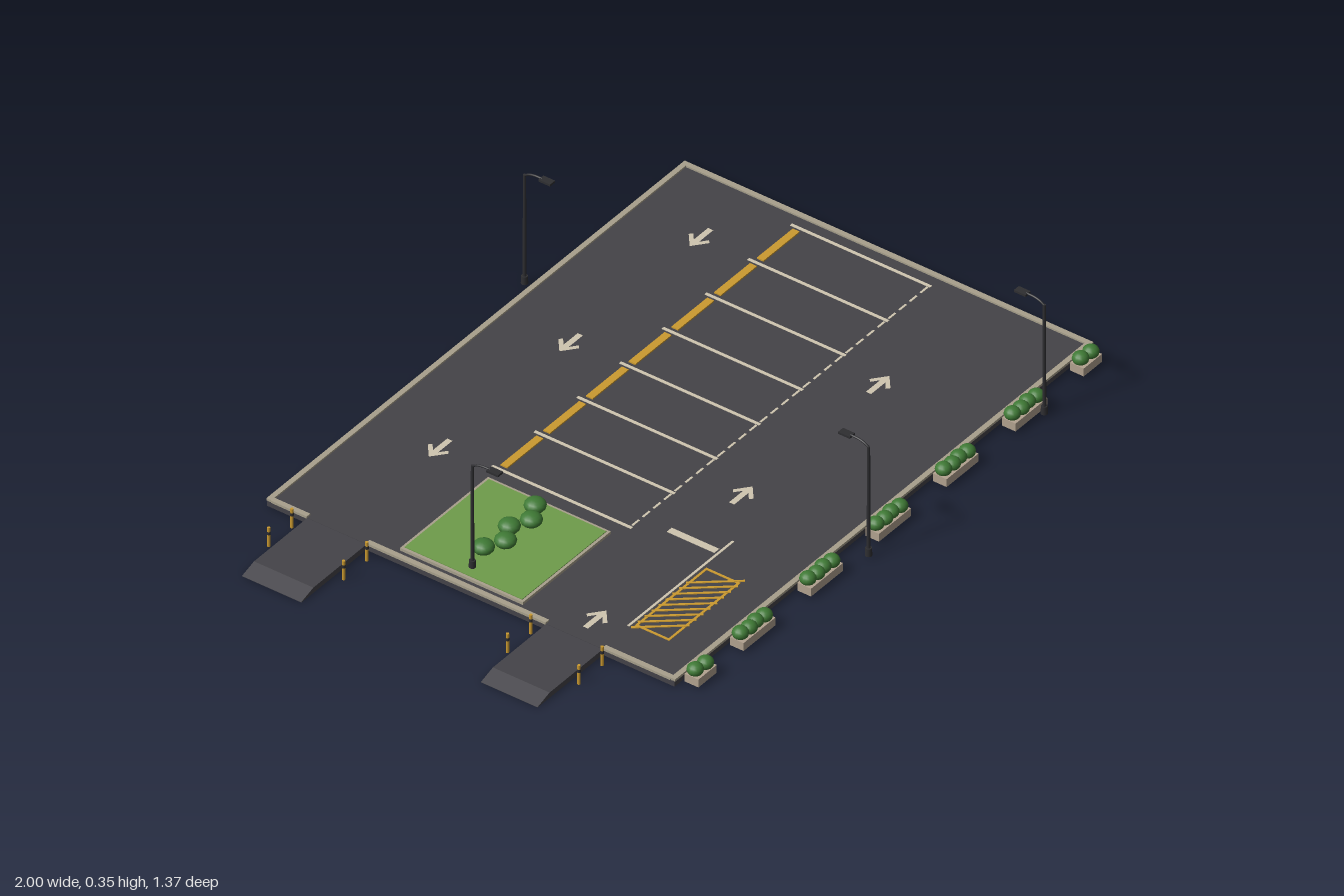
import * as THREE from 'three';

const mat = (name, color, side = THREE.FrontSide) => {
  const m = new THREE.MeshStandardMaterial({ color, side });
  m.name = name;
  return m;
};

export function createModel() {
  const asphalt = mat('asphalt', 0x444348);
  const curbStone = mat('curb stone', 0xa8a08c);
  const white = mat('line paint', 0xcfc6b0);
  const yellow = mat('yellow paint', 0xcb9a30);
  const grass = mat('grass', 0x6f9c4b);
  const leaf = mat('leaf', 0x3f7a35);
  const planterStone = mat('planter stone', 0xb3a390);
  const metal = mat('dark metal', 0x2e2e31);

  const root = new THREE.Group();
  root.name = 'parkingLot';
  const TOP = 0.018;

  const add = (parent, name, geo, material, x = 0, y = 0, z = 0) => {
    const m = new THREE.Mesh(geo, material);
    m.name = name;
    m.position.set(x, y, z);
    parent.add(m);
    return m;
  };
  // box given by its limits
  const span = (parent, name, material, x0, x1, y0, y1, z0, z1) =>
    add(parent, name, new THREE.BoxGeometry(x1 - x0, y1 - y0, z1 - z0), material,
      (x0 + x1) / 2, (y0 + y1) / 2, (z0 + z1) / 2);
  // thin painted strip on the asphalt
  const paint = (name, material, x0, x1, z0, z1) =>
    span(root, name, material, x0, x1, TOP - 0.001, TOP + 0.0015, z0, z1);

  // Ground slab and curbs, open at the two driveways
  const X0 = -0.73, X1 = 0.998, Z0 = -0.642, Z1 = 0.608, C = 0.013;
  span(root, 'slab', asphalt, X0, X1, 0, TOP, Z0, Z1);
  const drives = [[-0.519, -0.337], [0.214, 0.388]];
  const curb = (x0, x1, z0, z1) => span(root, 'curb', curbStone, x0, x1, 0.016, 0.023, z0, z1);
  curb(X0, X1 + 0.002, Z0 - 0.002, Z0 + C);
  curb(X0, X1 + 0.002, Z1 - C, Z1 + 0.002);
  curb(X1 - C, X1 + 0.002, Z0 + C, Z1 - C);
  curb(X0 - 0.002, X0 + C, Z0 + C, drives[0][0]);
  curb(X0 - 0.002, X0 + C, drives[0][1], drives[1][0]);
  curb(X0 - 0.002, X0 + C, drives[1][1], Z1 - C);

  // Driveways with a sloped outer end
  const profile = new THREE.Shape([[-1, 0], [X0, 0], [X0, 0.017], [-0.95, 0.016], [-1, 0.001]]
    .map(p => new THREE.Vector2(...p)));
  for (const [a, b] of drives) {
    add(root, 'driveway', new THREE.ExtrudeGeometry(profile, { depth: b - a, bevelEnabled: false }),
      asphalt, 0, 0, a);
  }

  // Bollards beside the driveways
  for (const z of [-0.54, -0.31, 0.193, 0.412]) {
    for (const x of [-0.861, -0.765]) {
      const g = new THREE.Group();
      g.name = 'bollard';
      g.position.set(x, 0, z);
      root.add(g);
      add(g, 'bollardPost', new THREE.CylinderGeometry(0.0042, 0.0042, 0.058, 10), yellow, 0, 0.029);
      add(g, 'bollardBand', new THREE.CylinderGeometry(0.0047, 0.0047, 0.009, 10), metal, 0, 0.041);
    }
  }

  // Parking stalls: dividers, wheel stops, dashed front line
  const S0 = -0.288, PITCH = 0.1767;
  for (let i = 0; i <= 7; i++) {
    const x = S0 + i * PITCH;
    paint('stallLine', white, x - 0.0045, x + 0.0045, -0.28, 0.15);
    if (i === 7) break;
    span(root, 'wheelStop', yellow, x + 0.014, x + PITCH - 0.014, TOP, TOP + 0.004, -0.264, -0.243);
    for (let k = 0; k < 4; k++) {
      const d = x + 0.009 + k * PITCH / 4;
      paint('dash', white, d, d + 0.028, 0.141, 0.147);
    }
  }

  // Stop bar and lane line
  paint('stopBar', white, -0.249, -0.229, 0.228, 0.374);
  paint('laneLine', white, -0.617, -0.183, 0.379, 0.386);

  // Hatched zone: frame and slanted stripes
  const hx0 = -0.606, hx1 = -0.31, hz0 = 0.394, hz1 = 0.5, w = 0.007;
  paint('hatchFrame', yellow, hx0, hx1, hz0, hz0 + w);
  paint('hatchFrame', yellow, hx0, hx1, hz1 - w, hz1);
  paint('hatchFrame', yellow, hx0, hx0 + w, hz0 + w, hz1 - w);
  paint('hatchFrame', yellow, hx1 - w, hx1, hz0 + w, hz1 - w);
  for (let i = 0; i < 9; i++) {
    const s = add(root, 'hatchStripe', new THREE.BoxGeometry(0.145, 0.0025, 0.007), yellow,
      -0.572 + i * 0.0286, TOP + 0.0006, 0.447);
    s.rotation.y = -0.88;
  }

  // Direction arrows
  const half = [[-0.043, 0.008], [0.016, 0.008], [-0.004, 0.024], [0.005, 0.032], [0.044, 0]];
  const outline = [...half, ...half.slice(0, 4).reverse().map(([x, y]) => [x, -y])];
  const arrowGeo = new THREE.ShapeGeometry(new THREE.Shape(outline.map(p => new THREE.Vector2(...p))));
  arrowGeo.rotateX(-Math.PI / 2);
  const arrow = (x, z, turn) => {
    add(root, 'arrow', arrowGeo, white, x, TOP + 0.0015, z).rotation.y = turn;
  };
  for (const x of [-0.307, 0.233, 0.772]) arrow(x, -0.427, Math.PI);
  arrow(-0.643, 0.302, 0);
  arrow(-0.018, 0.287, 0);
  arrow(0.548, 0.287, 0);

  // Grass island
  span(root, 'islandCurb', curbStone, -0.702, -0.338, TOP - 0.002, 0.026, -0.255, 0.122);
  span(root, 'islandGrass', grass, -0.694, -0.346, 0.02, 0.028, -0.247, 0.114);

  // Shrubs
  const ball = new THREE.SphereGeometry(1, 14, 10);
  const shrub = (x, y, z, rx, ry, rz) => {
    add(root, 'shrub', ball, leaf, x, y, z).scale.set(rx, ry, rz);
  };
  for (let i = 0; i < 5; i++) {
    shrub(-0.594 + i * 0.0535, 0.044, i % 2 ? -0.051 : -0.079, 0.029, 0.019, 0.029);
  }

  // Planters along the front edge: [centre x, shrub count]
  const planters = [[-0.666, 2], [-0.451, 4], [-0.172, 4], [0.109, 4], [0.389, 4], [0.674, 4], [0.928, 2]];
  for (const [cx, n] of planters) {
    const hw = n === 4 ? 0.066 : 0.038;
    span(root, 'planter', planterStone, cx - hw, cx + hw, 0.006, 0.03, 0.62, 0.662);
    for (let i = 0; i < n; i++) {
      const x = cx + (i - (n - 1) / 2) * (n === 4 ? 0.031 : 0.037);
      shrub(x, 0.041, 0.64 + (i % 2 ? 0.002 : -0.002), 0.022, 0.018, 0.022);
    }
  }

  // Street lamps, arm reaching towards local -z
  const lamp = (x, y, z, turn) => {
    const g = new THREE.Group();
    g.name = 'streetLamp';
    g.position.set(x, 0, z);
    g.rotation.y = turn;
    root.add(g);
    add(g, 'lampBase', new THREE.CylinderGeometry(0.0085, 0.0095, 0.023, 12), metal, 0, y + 0.0115);
    add(g, 'lampPole', new THREE.CylinderGeometry(0.004, 0.005, 0.34 - y, 10), metal, 0, (0.34 + y) / 2);
    const path = new THREE.CatmullRomCurve3([[0, 0.337, 0], [0, 0.345, -0.012], [0, 0.35, -0.03], [0, 0.351, -0.055]]
      .map(p => new THREE.Vector3(...p)));
    add(g, 'lampArm', new THREE.TubeGeometry(path, 12, 0.003, 8), metal);
    add(g, 'lampHead', new THREE.BoxGeometry(0.021, 0.006, 0.036), metal, 0, 0.35, -0.068);
  };
  lamp(-0.016, 0.006, 0.674, 0);
  lamp(0.711, 0.006, 0.674, 0);
  lamp(0.378, 0.006, -0.674, Math.PI);
  lamp(-0.66, 0.026, -0.064, Math.PI);

  return root;
}
